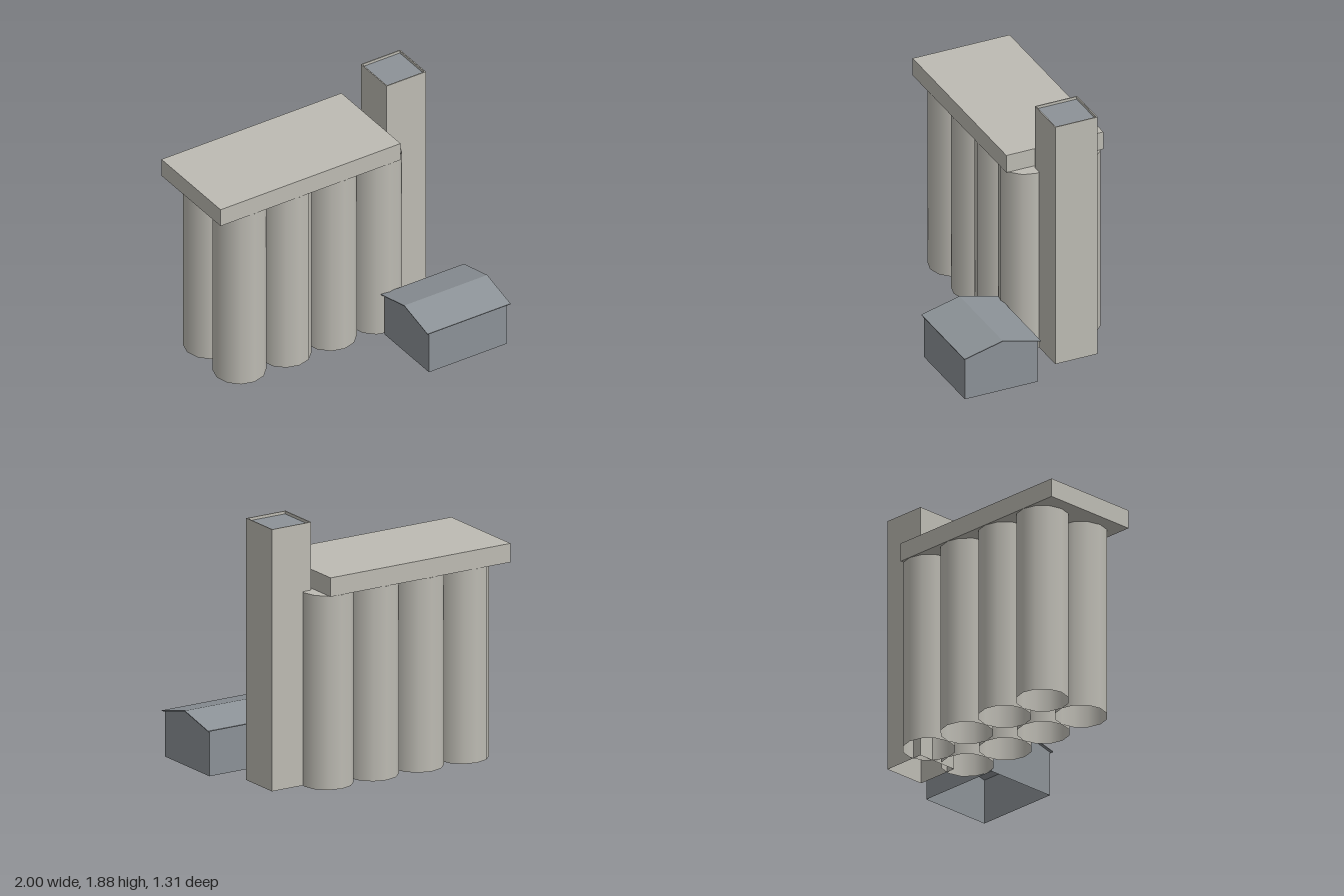
import * as THREE from 'three';

const concrete = new THREE.MeshStandardMaterial({ color: 0xbdbbb3, side: THREE.DoubleSide });
concrete.name = 'concrete';
const metal = new THREE.MeshStandardMaterial({ color: 0x8c9297, side: THREE.DoubleSide });
metal.name = 'blue grey metal';

// Flat convex sheet through a few corner points
function sheet(points) {
  const pos = [];
  for (let i = 1; i < points.length - 1; i++) pos.push(...points[0], ...points[i], ...points[i + 1]);
  const g = new THREE.BufferGeometry();
  g.setAttribute('position', new THREE.Float32BufferAttribute(pos, 3));
  g.computeVertexNormals();
  return g;
}

function add(parent, name, geometry, material, x = 0, y = 0, z = 0) {
  const m = new THREE.Mesh(geometry, material);
  m.name = name;
  m.position.set(x, y, z);
  parent.add(m);
  return m;
}

function group(parent, name) {
  const g = new THREE.Group();
  g.name = name;
  parent.add(g);
  return g;
}

export function createModel() {
  const model = new THREE.Group();
  model.name = 'grainElevator';

  // Two rows of four silos: capped on top, open underneath
  const silos = group(model, 'silos');
  const r = 0.185, h = 1.388;
  const wall = new THREE.CylinderGeometry(r, r, h, 12, 1, true);
  const cap = new THREE.CircleGeometry(r, 12).rotateX(-Math.PI / 2);
  for (const z of [-0.102, -0.472]) {
    for (let i = 0; i < 4; i++) {
      const x = -0.724 + i * 0.37;
      add(silos, 'siloWall', wall, concrete, x, h / 2, z);
      add(silos, 'siloTop', cap, concrete, x, h, z);
    }
  }

  // Gallery block over the silos
  add(model, 'topGallery', new THREE.BoxGeometry(1.475, 0.135, 0.738), concrete, -0.2625, 1.4575, -0.287);

  // Square lift tower: open shell, thin rim, sunken roof
  const tower = group(model, 'liftTower');
  const size = 0.322, top = 1.875, rim = 0.008;
  const cx = 0.657, cz = -0.285, s = size / 2, k = s - rim;
  tower.position.set(cx, 0, cz);
  for (let i = 0; i < 4; i++) {
    const side = group(tower, 'towerSide');
    side.rotation.y = i * Math.PI / 2;
    add(side, 'towerWall', sheet([[-s, 0, s], [s, 0, s], [s, top, s], [-s, top, s]]), concrete);
    add(side, 'towerRim', sheet([[-s, top, s], [s, top, s], [k, top, k], [-k, top, k]]), concrete);
    add(side, 'rimInside', sheet([[-k, top - 0.02, k], [-k, top, k], [k, top, k], [k, top - 0.02, k]]), concrete);
  }
  add(tower, 'towerRoof', new THREE.PlaneGeometry(2 * k, 2 * k).rotateX(-Math.PI / 2), metal, 0, top - 0.02, 0);

  // Gabled shed: open underneath
  const shed = group(model, 'shed');
  const x0 = 0.34, x1 = 0.98, z0 = 0.085, z1 = 0.642, eave = 0.327, ridge = 0.396;
  const zm = (z0 + z1) / 2;
  for (const x of [x0, x1]) {
    const corners = [[x, 0, z1], [x, 0, z0], [x, eave, z0], [x, ridge, zm], [x, eave, z1]];
    add(shed, 'gableWall', sheet(x === x0 ? corners.reverse() : corners), metal);
  }
  add(shed, 'frontWall', sheet([[x0, 0, z1], [x1, 0, z1], [x1, eave, z1], [x0, eave, z1]]), metal);
  add(shed, 'backWall', sheet([[x1, 0, z0], [x0, 0, z0], [x0, eave, z0], [x1, eave, z0]]), metal);

  // Thin folded roof with a small overhang
  const half = 0.291, t = 0.006;
  const profile = new THREE.Shape([[-half, 0.324], [0, ridge], [half, 0.324], [half, 0.324 + t], [0, ridge + t], [-half, 0.324 + t]]
    .map(([a, b]) => new THREE.Vector2(a, b)));
  const roof = new THREE.ExtrudeGeometry(profile, { depth: 0.68, bevelEnabled: false }).rotateY(Math.PI / 2);
  add(shed, 'shedRoof', roof, metal, 0.32, 0, zm);

  return model;
}
